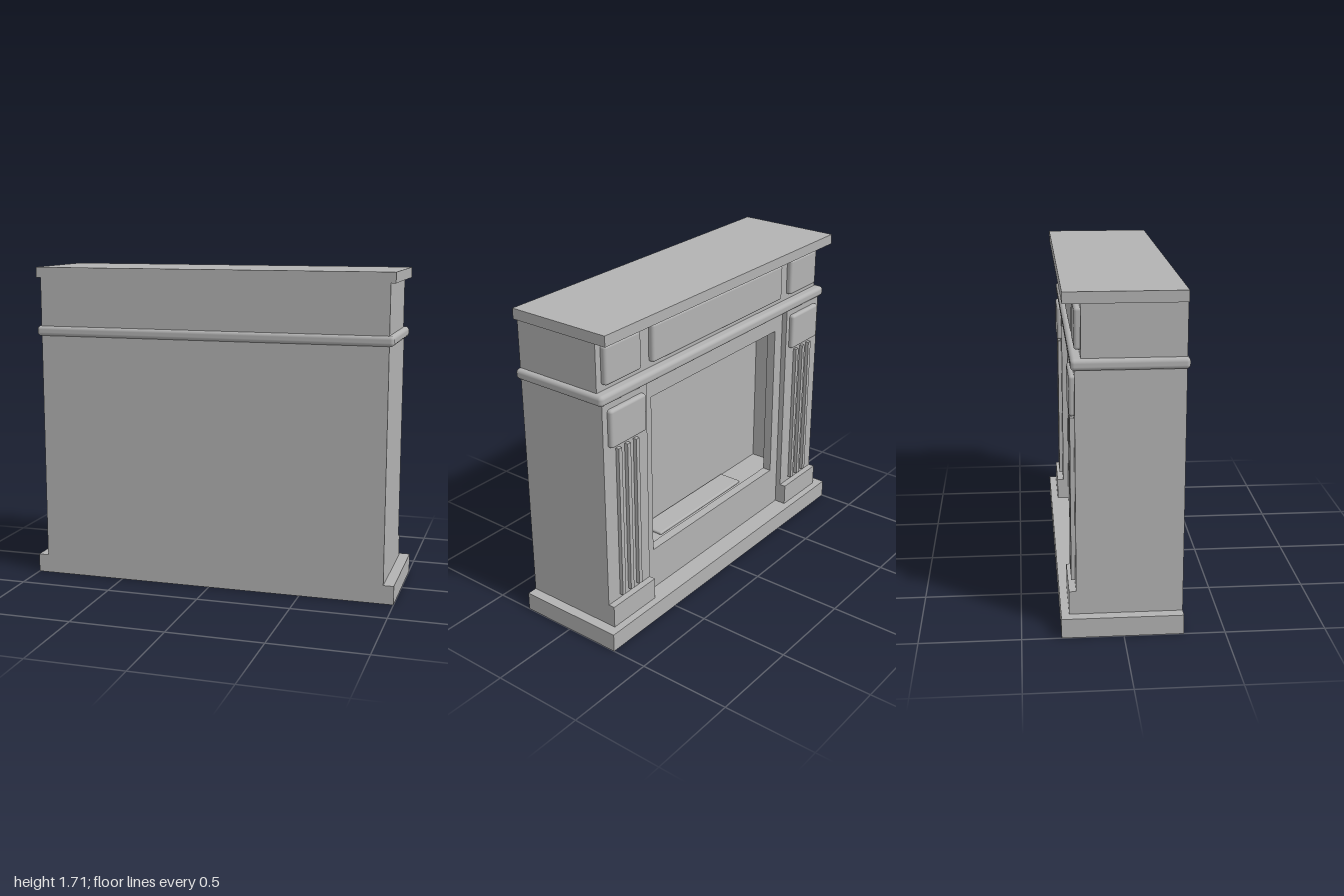
import * as THREE from 'three';
import { RoundedBoxGeometry } from 'three/addons/geometries/RoundedBoxGeometry.js';

export function createModel() {
  const group = new THREE.Group();
  group.name = 'fireplace';
  const grey = new THREE.MeshStandardMaterial({ color: 0xb2b2b2 });
  grey.name = 'grey';

  function add(name, geometry) {
    const mesh = new THREE.Mesh(geometry, grey);
    mesh.name = name;
    group.add(mesh);
    return mesh;
  }

  // Box given by its limits; a radius rounds its edges
  function block(name, [x0, x1], [y0, y1], [z0, z1], radius = 0) {
    const size = [x1 - x0, y1 - y0, z1 - z0];
    const geometry = radius
      ? new RoundedBoxGeometry(...size, 3, radius)
      : new THREE.BoxGeometry(...size);
    add(name, geometry).position.set((x0 + x1) / 2, (y0 + y1) / 2, (z0 + z1) / 2);
  }

  // The same block on both sides
  function pair(name, [x0, x1], y, z, radius) {
    block(name + 'Left', [x0, x1], y, z, radius);
    block(name + 'Right', [-x1, -x0], y, z, radius);
  }

  function rectangle(path, x, y0, y1) {
    path.moveTo(-x, y0);
    path.lineTo(x, y0);
    path.lineTo(x, y1);
    path.lineTo(-x, y1);
    path.closePath();
    return path;
  }

  // Layer of the body with a rectangular opening
  function openLayer(name, holeX, holeY0, holeY1, z0, z1) {
    const shape = rectangle(new THREE.Shape(), 0.945, 0.1, 1.337);
    shape.holes.push(rectangle(new THREE.Path(), holeX, holeY0, holeY1));
    const geometry = new THREE.ExtrudeGeometry(shape, { depth: z1 - z0, bevelEnabled: false });
    geometry.translate(0, 0, z0);
    add(name, geometry);
  }

  // Base, body and firebox; the opening faces -z
  block('base', [-1, 1], [0, 0.1], [-0.305, 0.295]);
  openLayer('openingFrame', 0.55, 0.338, 1.227, -0.2, -0.15);
  openLayer('fireboxWalls', 0.72, 0.3, 1.3, -0.15, 0.04);
  block('bodyBack', [-0.945, 0.945], [0.1, 1.337], [0.04, 0.295]);
  block('burnerBed', [-0.37, 0.37], [0.3, 0.318], [-0.105, 0.03], 0.008);

  // Upper section, moulding and mantel shelf
  block('moulding', [-0.97, 0.97], [1.335, 1.39], [-0.25, 0.308], 0.02);
  block('frieze', [-0.945, 0.945], [1.388, 1.65], [-0.2, 0.295]);
  block('mantelShelf', [-0.97, 0.97], [1.65, 1.705], [-0.285, 0.295]);
  block('friezePanel', [-0.563, 0.563], [1.42, 1.62], [-0.23, -0.18], 0.015);
  pair('friezeSidePanel', [0.65, 0.91], [1.42, 1.62], [-0.23, -0.18], 0.015);

  // Pilasters with plinths, capital blocks and ribs
  pair('pilaster', [0.62, 0.945], [0.1, 1.337], [-0.23, -0.2]);
  pair('plinth', [0.62, 0.945], [0.1, 0.22], [-0.265, -0.23]);
  pair('capital', [0.65, 0.91], [1.1, 1.3], [-0.256, -0.21], 0.015);
  for (const x of [0.715, 0.78, 0.845]) {
    pair('rib', [x - 0.012, x + 0.012], [0.24, 1.08], [-0.25, -0.23]);
  }
  return group;
}
